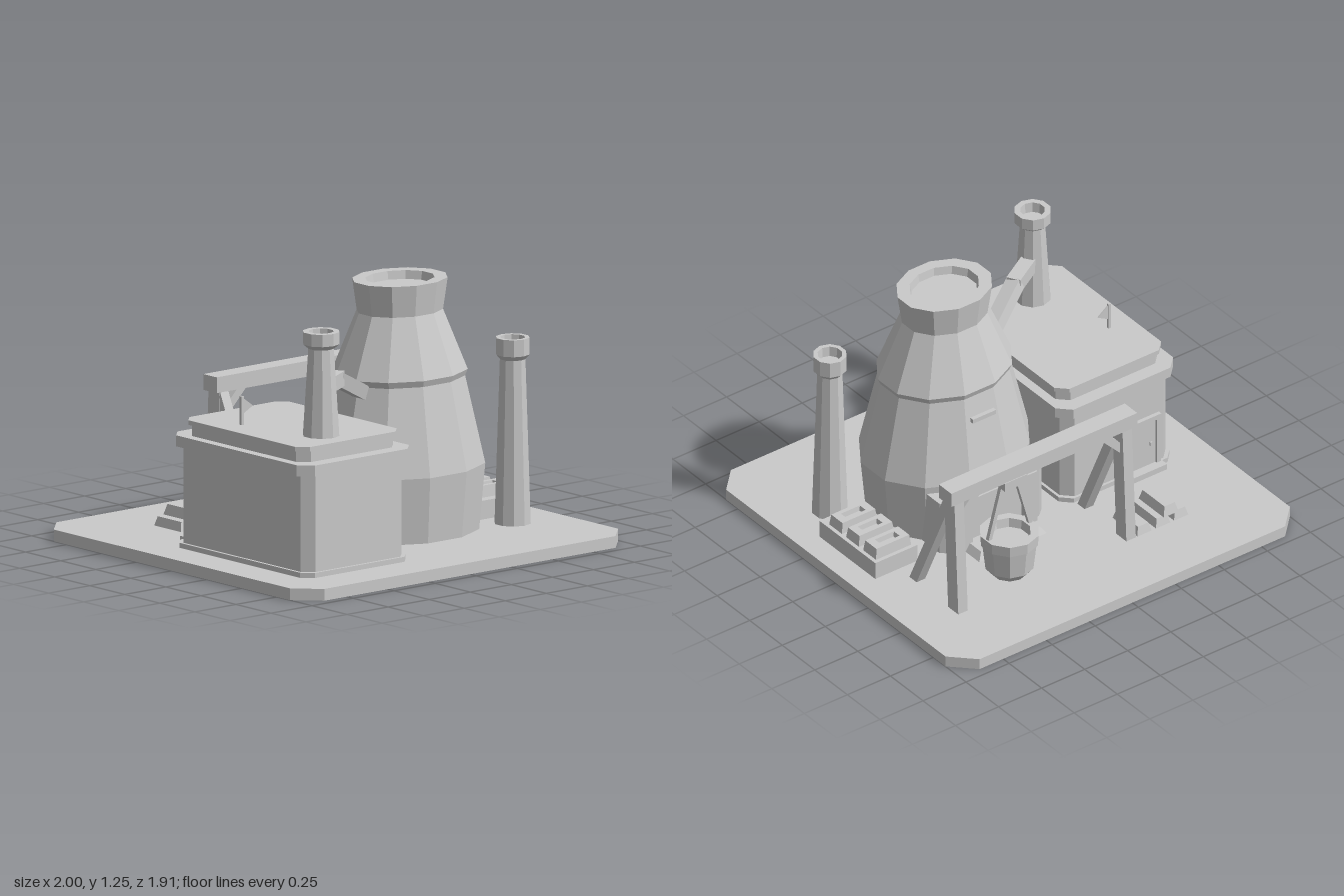
import * as THREE from 'three';

const stone = new THREE.MeshStandardMaterial({ color: 0xcacaca });
stone.name = 'grey stone';

// Plan outlines, listed as [x, z] turning from +x to +z
function ngon(n, rx, rz = rx) {
  return Array.from({ length: n }, (_, i) => {
    const a = ((i + 0.5) / n) * Math.PI * 2;
    return [(Math.cos(a) * rx) / Math.cos(Math.PI / n), (Math.sin(a) * rz) / Math.cos(Math.PI / n)];
  });
}
function rect(hx, hz, c = 0) {
  if (!c) return [[hx, -hz], [hx, hz], [-hx, hz], [-hx, -hz]];
  return [[hx, c - hz], [hx, hz - c], [hx - c, hz], [c - hx, hz], [-hx, hz - c], [-hx, c - hz], [c - hx, -hz], [hx - c, -hz]];
}
const points = (plan, x = 0, y = 0) => plan.map((p) => new THREE.Vector2(p[0] + x, p[1] + y));

// Faceted solid through a stack of [plan, y] sections, closed at both ends
function loft(name, levels, x = 0, z = 0) {
  const rings = levels.map(([plan, y]) => plan.map(([px, pz]) => [px, y, pz]));
  const pos = [];
  const tri = (...p) => p.forEach((v) => pos.push(...v));
  const n = rings[0].length;
  for (let k = 0; k < rings.length - 1; k++) {
    for (let i = 0; i < n; i++) {
      const j = (i + 1) % n, a = rings[k], b = rings[k + 1];
      tri(a[i], b[i], a[j]);
      tri(a[j], b[i], b[j]);
    }
  }
  const lo = rings[0], hi = rings[rings.length - 1];
  for (let i = 1; i < n - 1; i++) {
    tri(lo[0], lo[i], lo[i + 1]);
    tri(hi[0], hi[i + 1], hi[i]);
  }
  const g = new THREE.BufferGeometry();
  g.setAttribute('position', new THREE.Float32BufferAttribute(pos, 3));
  g.computeVertexNormals();
  return place(name, g, x, 0, z);
}
function place(name, geo, x, y, z) {
  const m = new THREE.Mesh(geo, stone);
  m.name = name;
  m.position.set(x, y, z);
  return m;
}
const box = (name, w, h, d, x, y, z) => place(name, new THREE.BoxGeometry(w, h, d), x, y, z);

// Straight bar of section w by h from a to b
function bar(name, a, b, w, h, up = [0, 1, 0]) {
  const A = new THREE.Vector3(...a), B = new THREE.Vector3(...b);
  const m = place(name, new THREE.BoxGeometry(w, h, A.distanceTo(B)), 0, 0, 0);
  m.position.copy(A).lerp(B, 0.5);
  m.up.set(...up);
  m.lookAt(B);
  return m;
}
function group(name, ...parts) {
  const g = new THREE.Group();
  g.name = name;
  return g.add(...parts);
}

// Tapered stack with a collar and an open mouth
function chimney(name, x, z, y0, yNeck, yTop, collar) {
  const s = (r) => ngon(10, r);
  return loft(name, [[s(0.083), y0], [s(0.058), yNeck], [s(collar), yNeck + 0.022], [s(collar), yTop],
    [s(0.056), yTop], [s(0.052), yTop - 0.05]], x, z);
}

// Footprints shared by the buildings and the sockets under the base
const furnaceAt = [0.225, 0.192];
const houseAt = [-0.493, 0.267];
const furnacePlan = (r) => ngon(12, r, r * 0.835);
const footing = rect(0.322, 0.48, 0.05);

function makeBase() {
  const plan = rect(1, 0.955, 0.113);
  const under = new THREE.Shape(points(plan));
  under.holes.push(new THREE.Path(points(furnacePlan(0.383), ...furnaceAt)), new THREE.Path(points(footing, ...houseAt)));
  const lower = new THREE.ExtrudeGeometry(under, { depth: 0.02, bevelEnabled: false }).rotateX(Math.PI / 2);
  return group('base', place('baseUnderside', lower, 0, 0.02, 0), loft('basePlate', [[plan, 0.02], [plan, 0.056]]));
}

function makeFurnace() {
  const [cx, cz] = furnaceAt;
  const s = furnacePlan;
  const body = loft('furnaceBody', [[s(0.383), 0.03], [s(0.415), 0.37], [s(0.317), 0.785], [s(0.33), 0.815],
    [s(0.21), 1.1], [s(0.232), 1.25], [s(0.168), 1.25], [s(0.16), 1.21]], cx, cz);

  // Hearth at the back with chamfered corners and an arched mouth
  const hearth = loft('hearthBlock', [0.03, 0.335].map((y) => [
    [[0.297, -0.16], [0.297, 0.05], [-0.297, 0.05], [-0.297, -0.16], [-0.252, -0.2], [0.252, -0.2]], y]), cx - 0.002);
  const face = new THREE.Shape(points([[-0.225, 0.05], [0.225, 0.05], [0.225, 0.335], [-0.225, 0.335]]));
  const arch = new THREE.Path();
  arch.moveTo(-0.15, 0.075).lineTo(0.15, 0.075).lineTo(0.15, 0.2);
  arch.absellipse(0, 0.2, 0.15, 0.1, 0, Math.PI, false);
  arch.lineTo(-0.15, 0.075);
  face.holes.push(arch);
  const front = place('hearthArch', new THREE.ExtrudeGeometry(face, { depth: 0.03, bevelEnabled: false, curveSegments: 4 }), cx - 0.002, 0, -0.225);
  const sill = loft('hearthSill', [
    [[[0.2, -0.335], [0.2, -0.2], [-0.2, -0.2], [-0.2, -0.335]], 0.05],
    [[[0.17, -0.31], [0.17, -0.2], [-0.17, -0.2], [-0.17, -0.31]], 0.093]], cx - 0.004);
  return group('furnace', body, hearth, front, sill,
    box('furnaceVent', 0.135, 0.022, 0.05, cx - 0.003, 0.675, -0.089));
}

function makeHouse() {
  const [cx, cz] = houseAt;
  const slab = (name, plan, y0, y1) => loft(name, [[plan, y0], [plan, y1]], cx, cz);
  const flag = new THREE.Shape(points([[0, 0.715], [0.065, 0.75], [0, 0.798]]));
  const house = group('house',
    slab('footing', footing, 0.03, 0.08),
    slab('walls', rect(0.308, 0.467, 0.05), 0.08, 0.54),
    slab('eave', rect(0.342, 0.49, 0.06), 0.54, 0.592),
    slab('roofStep', rect(0.296, 0.42, 0.05), 0.592, 0.645),
    slab('roofSlab', rect(0.31, 0.43, 0.05), 0.645, 0.667),
    chimney('houseChimney', -0.545, 0.532, 0.66, 1.08, 1.16, 0.083),
    // Door in the back wall
    box('doorLintel', 0.21, 0.025, 0.03, -0.62, 0.34, -0.205),
    box('doorPanel', 0.16, 0.26, 0.02, -0.62, 0.205, -0.2),
    box('doorHandle', 0.012, 0.02, 0.01, -0.67, 0.2, -0.213),
    box('doorStep', 0.215, 0.03, 0.08, -0.622, 0.07, -0.218),
    // Small hatch in the side wall
    box('sideHatch', 0.01, 0.09, 0.12, -0.183, 0.355, 0.38),
    box('hatchSill', 0.025, 0.022, 0.14, -0.177, 0.315, 0.38),
    // Pennant
    box('flagPole', 0.014, 0.145, 0.014, -0.678, 0.73, 0.122),
    place('flag', new THREE.ExtrudeGeometry(flag, { depth: 0.006, bevelEnabled: false }), -0.678, 0, 0.119));
  for (const s of [-1, 1]) house.add(box('doorJamb', 0.025, 0.27, 0.03, -0.62 + s * 0.09, 0.2, -0.205));
  return house;
}

function makeCrane() {
  const z = -0.539;
  const crane = group('crane', box('craneBeam', 1.08, 0.075, 0.096, 0.233, 0.7, z));
  for (const [x, inward] of [[-0.255, 1], [0.721, -1]]) {
    crane.add(
      bar('craneLeg', [x, 0.04, -0.57], [x, 0.67, z], 0.055, 0.078),
      bar('craneStrut', [x, 0.04, -0.25], [x, 0.66, -0.525], 0.05, 0.05),
      bar('kneeBrace', [x, 0.53, z], [x + inward * 0.14, 0.675, z], 0.04, 0.04));
  }
  crane.add(box('hangerBlock', 0.13, 0.045, 0.104, 0.4, 0.643, z));
  for (const s of [-1, 1]) {
    crane.add(bar('hangerRod', [0.4 + s * 0.04, 0.63, z], [0.4 + s * 0.125, 0.32, z], 0.02, 0.02));
  }
  const r = (v) => ngon(10, v);
  crane.add(loft('ladle', [[r(0.08), 0.115], [r(0.111), 0.155], [r(0.125), 0.285], [r(0.132), 0.29],
    [r(0.135), 0.345], [r(0.097), 0.345], [r(0.09), 0.3]], 0.4, z));
  return crane;
}

// Open casting moulds on a pallet
function makeMoulds() {
  const g = group('castingMoulds', box('mouldPallet', 0.245, 0.095, 0.43, 0.76, 0.0975, 0.067));
  for (const z of [-0.079, 0.052, 0.182]) {
    g.add(loft('mould', [[rect(0.103, 0.05), 0.14], [rect(0.095, 0.043), 0.2], [rect(0.055, 0.022), 0.2], [rect(0.05, 0.018), 0.175]], 0.761, z));
  }
  return g;
}

// Loose ingots, one stacked on top of the others
function makeIngots() {
  const g = group('ingotPile');
  for (const [x, y] of [[-0.546, 0.05], [-0.441, 0.05], [-0.333, 0.05], [-0.487, 0.1]]) {
    g.add(loft('ingot', [[rect(0.043, 0.097), y], [rect(0.03, 0.084), y + 0.05]], x, -0.513));
  }
  return g;
}

export function createModel() {
  const model = new THREE.Group();
  model.name = 'foundry';
  model.add(
    makeBase(),
    makeFurnace(),
    makeHouse(),
    group('fluePipe',
      bar('flueLevel', [-0.53, 0.889, 0.52], [-0.34, 0.889, 0.408], 0.07, 0.072),
      bar('flueSlope', [-0.36, 0.892, 0.418], [-0.02, 0.738, 0.24], 0.07, 0.066, [0.41, 0.91, 0])),
    chimney('yardChimney', 0.713, 0.425, 0.03, 0.835, 0.937, 0.076),
    makeCrane(), makeMoulds(), makeIngots());
  return model;
}
